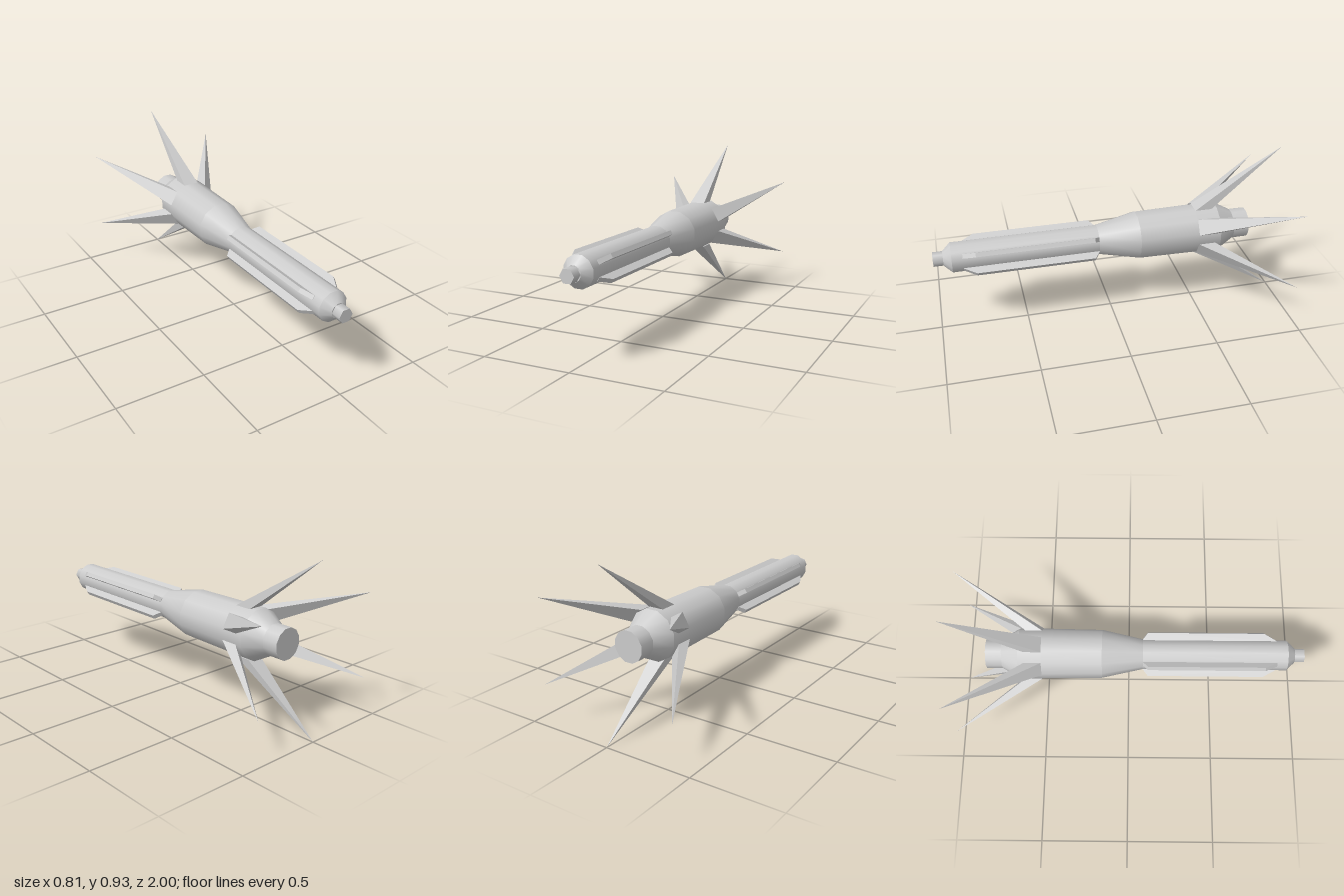
import * as THREE from 'three';

const AXIS_Y = 0.467; // height of the long axis
const material = new THREE.MeshStandardMaterial({ color: 0xcccccc });
const flatMaterial = new THREE.MeshStandardMaterial({ color: 0xcccccc, flatShading: true });

// Faceted ring along z with flats facing up; radii are measured to the flats
function section(name, zBack, zFront, rBack, rFront, sides = 12, open = true) {
  const k = 1 / Math.cos(Math.PI / 12);
  const g = new THREE.CylinderGeometry(rFront * k, rBack * k, zFront - zBack, sides, 1, open, Math.PI / sides);
  g.rotateX(Math.PI / 2).translate(0, 0, (zFront + zBack) / 2);
  const mesh = new THREE.Mesh(g, material);
  mesh.name = name;
  return mesh;
}

// Four-sided swept-back spike, pointing up before it is turned about the axis
function spikeGeometry() {
  const w = 0.045, r = 0.138, zf = -0.49, zb = -0.585;
  const a = [-w, r, zf], b = [w, r, zf], c = [w, r, zb], d = [-w, r, zb], tip = [0, 0.467, -1];
  const tris = [a, b, tip, b, c, tip, c, d, tip, d, a, tip, a, c, b, a, d, c];
  const g = new THREE.BufferGeometry();
  g.setAttribute('position', new THREE.Float32BufferAttribute(tris.flat(), 3));
  g.computeVertexNormals();
  return g;
}

// Long thin fin with chamfered ends, drawn as (z, radius)
function finGeometry() {
  const t = 0.025;
  const shape = new THREE.Shape([
    [0.08, 0.07], [0.84, 0.07], [0.84, 0.085], [0.77, 0.125], [0.11, 0.125], [0.08, 0.085],
  ].map(([z, r]) => new THREE.Vector2(z, r)));
  const g = new THREE.ExtrudeGeometry(shape, { depth: t, bevelEnabled: false });
  return g.translate(0, 0, -t / 2).rotateY(-Math.PI / 2);
}

// Copies of a part turned about the axis; angles in degrees from +x
function radial(name, geometry, angles) {
  const group = new THREE.Group();
  group.name = name + 's';
  angles.forEach((deg) => {
    const mesh = new THREE.Mesh(geometry, flatMaterial);
    mesh.name = name;
    mesh.rotation.z = THREE.MathUtils.degToRad(deg - 90);
    group.add(mesh);
  });
  return group;
}

export function createModel() {
  const model = new THREE.Group();
  const body = new THREE.Group();
  body.name = 'body';
  body.position.y = AXIS_Y;

  // Hull from nose to tail
  body.add(
    section('noseTip', 0.94, 1, 0.039, 0.039, 6, false),
    section('noseCone', 0.9, 0.945, 0.083, 0.041, 12, false),
    section('barrel', 0.08, 0.9, 0.083, 0.083),
    section('neck', -0.15, 0.08, 0.133, 0.083),
    section('rearHull', -0.49, -0.15, 0.138, 0.133),
    section('rearBand', -0.62, -0.49, 0.138, 0.138),
    section('tailCone', -0.72, -0.62, 0.084, 0.138),
    section('nozzle', -0.81, -0.72, 0.084, 0.084, 12, false),
  );

  // Six spikes around the tail, four fins along the barrel
  body.add(radial('spike', spikeGeometry(), [30, 90, 150, 210, 270, 330]));
  body.add(radial('fin', finGeometry(), [30, 150, 210, 330]));

  model.add(body);
  return model;
}
